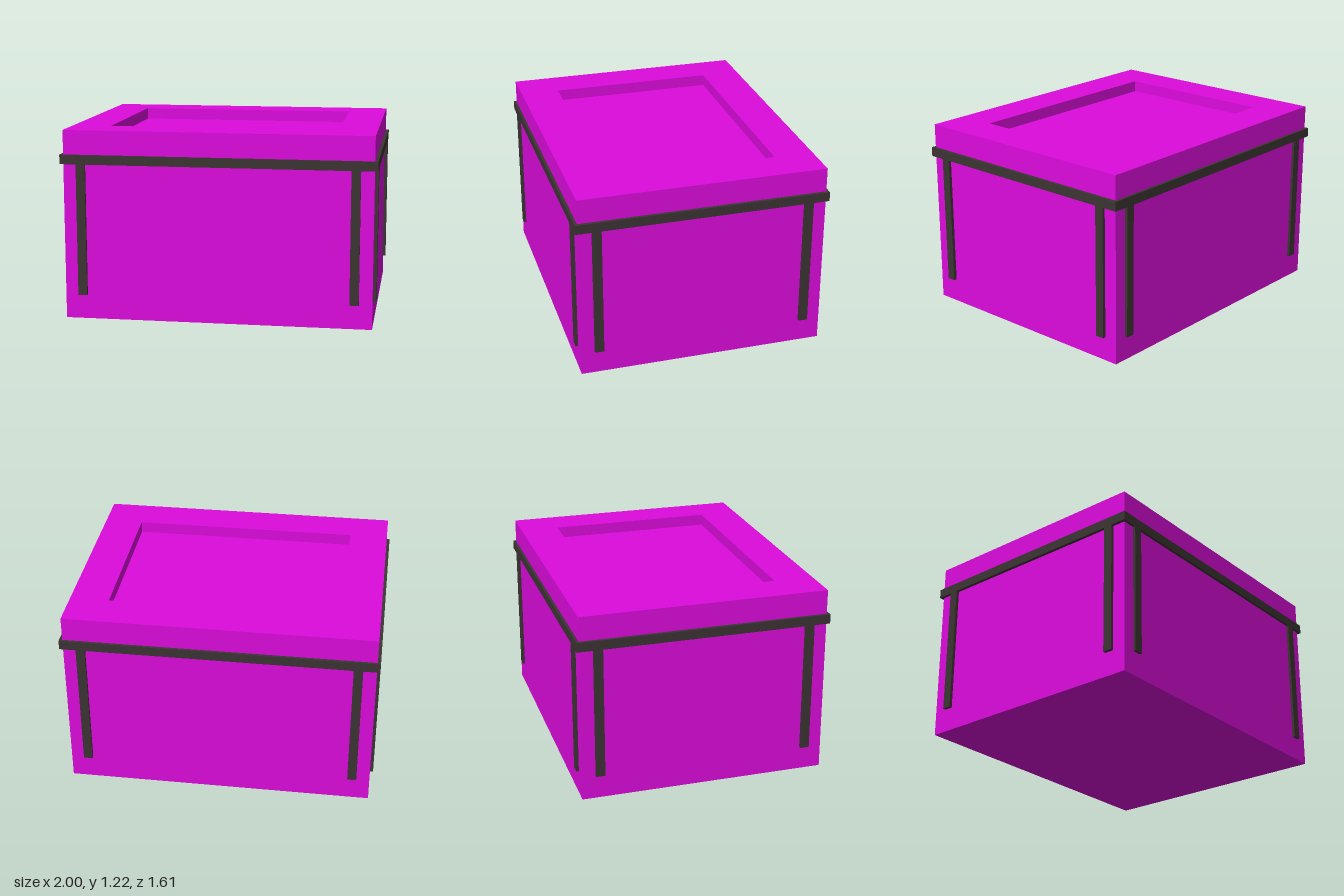
import * as THREE from 'three';

const BODY = { x: 0.98, z: 0.79, top: 1.215 };
const BAND = { x: 1.0, z: 0.807, y0: 1.0, y1: 1.06 };
const STRIP_BOTTOM = 0.155;
const STRIP_WIDTH = 0.058;

// Solid skinned over stacked rectangles [halfX, halfZ, y], capped at both ends
function rectLoft(sections) {
  const pos = [];
  const rings = sections.map(([x, z, y]) => [[-x, y, z], [x, y, z], [x, y, -z], [-x, y, -z]]);
  const quad = (a, b, c, d) => pos.push(...a, ...b, ...c, ...a, ...c, ...d);
  for (let i = 0; i < rings.length - 1; i++) {
    const lo = rings[i], hi = rings[i + 1];
    for (let k = 0; k < 4; k++) {
      const n = (k + 1) % 4;
      quad(lo[k], lo[n], hi[n], hi[k]);
    }
  }
  const first = rings[0], last = rings[rings.length - 1];
  quad(first[3], first[2], first[1], first[0]);
  quad(last[0], last[1], last[2], last[3]);
  const geo = new THREE.BufferGeometry();
  geo.setAttribute('position', new THREE.Float32BufferAttribute(pos, 3));
  geo.computeVertexNormals();
  return geo;
}

function rectPath(path, x, z) {
  path.moveTo(-x, -z);
  path.lineTo(x, -z);
  path.lineTo(x, z);
  path.lineTo(-x, z);
  path.closePath();
  return path;
}

export function createModel() {
  const group = new THREE.Group();
  const magenta = new THREE.MeshStandardMaterial({ color: 0xdd0bdd });
  const dark = new THREE.MeshStandardMaterial({ color: 0x3b3533 });

  const add = (name, geo, mat) => {
    const mesh = new THREE.Mesh(geo, mat);
    mesh.name = name;
    group.add(mesh);
    return mesh;
  };

  // Box body: outer walls, top rim, and shallow rectangular recess
  add('body', rectLoft([
    [BODY.x, BODY.z, 0],
    [BODY.x, BODY.z, BODY.top],
    [0.73, 0.536, BODY.top],
    [0.73, 0.536, 1.14],
  ]), magenta);

  // Band wrapped around the body
  const ring = rectPath(new THREE.Shape(), BAND.x, BAND.z);
  ring.holes.push(rectPath(new THREE.Path(), BODY.x, BODY.z));
  const bandGeo = new THREE.ExtrudeGeometry(ring, { depth: BAND.y1 - BAND.y0, bevelEnabled: false });
  bandGeo.rotateX(-Math.PI / 2);
  add('band', bandGeo, dark).position.y = BAND.y0;

  // Two strips hanging from the band on each of the four walls
  const h = BAND.y0 - STRIP_BOTTOM;
  const y = STRIP_BOTTOM + h / 2;
  const tx = BAND.x - BODY.x, tz = BAND.z - BODY.z;
  const endStrip = new THREE.BoxGeometry(STRIP_WIDTH, h, tz);
  const sideStrip = new THREE.BoxGeometry(tx, h, STRIP_WIDTH);
  for (const sx of [-1, 1]) {
    for (const sz of [-1, 1]) {
      const side = sx > 0 ? 'Left' : 'Right';
      const end = sz > 0 ? 'front' : 'back';
      add(`${end}Strip${side}`, endStrip, dark).position.set(sx * 0.867, y, sz * (BODY.z + tz / 2));
      add(`${end}SideStrip${side}`, sideStrip, dark).position.set(sx * (BODY.x + tx / 2), y, sz * 0.675);
    }
  }
  return group;
}
